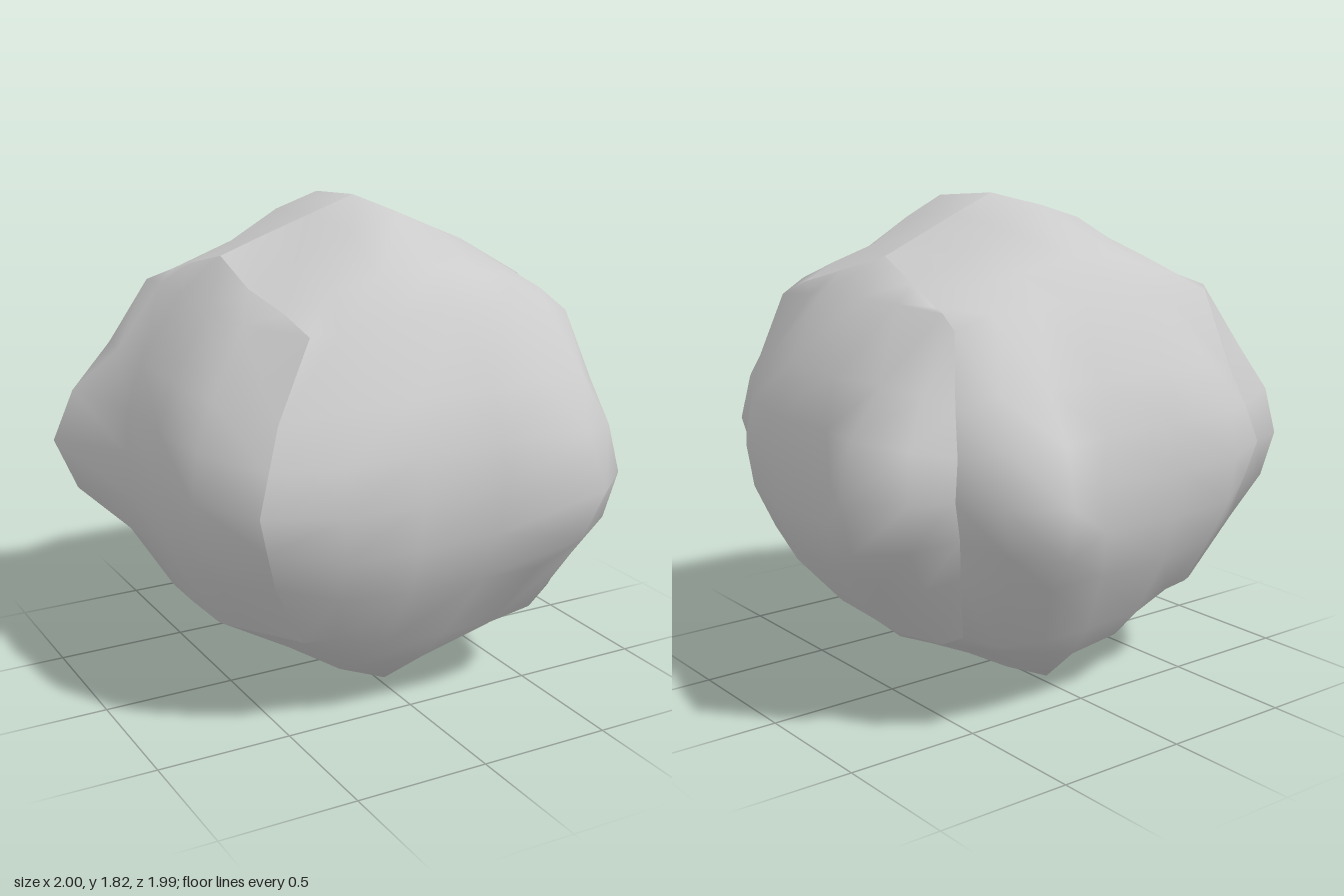
import * as THREE from 'three';

const MID = 0.91; // height of the widest level

// Half a lobe, from its waist up to its ridge: tilt in degrees,
// sideways positions, and distances from the sideways axis.
const SECTIONS = [
  { tilt: 0, x: [-0.69, -0.44, -0.16, 0.19, 0.465, 0.63, 0.7], r: [0.69, 0.82, 0.83, 0.81, 0.995, 0.85, 0.68] },
  { tilt: 11.7, x: [-0.645, -0.43, -0.15, 0.17, 0.44, 0.6, 0.68], r: [0.68, 0.81, 0.83, 0.82, 0.94, 0.84, 0.68] },
  { tilt: 24.4, x: [-0.59, -0.4, -0.14, 0.15, 0.38, 0.55, 0.66], r: [0.69, 0.79, 0.83, 0.83, 0.83, 0.8, 0.69] },
  { tilt: 44, x: [-0.44, -0.33, -0.14, 0.1, 0.3, 0.48, 0.6], r: [0.785, 0.795, 0.845, 0.85, 0.85, 0.825, 0.757] },
  { tilt: 55, x: [-0.46, -0.32, -0.14, 0.08, 0.27, 0.43, 0.58], r: [0.73, 0.8, 0.865, 0.88, 0.83, 0.785, 0.715] },
  { tilt: 71, x: [-0.5, -0.33, -0.14, 0.04, 0.21, 0.37, 0.54], r: [0.69, 0.78, 0.88, 0.935, 0.86, 0.77, 0.68] },
  { tilt: 90, x: [-0.5, -0.33, -0.15, 0.03, 0.2, 0.36, 0.5], r: [0.73, 0.79, 0.85, 0.91, 0.84, 0.77, 0.71] },
];

// One row of lobe points; sign -1 gives the row below the waist, slightly skewed
function sectionRow({ tilt, x, r }, sign) {
  const a = THREE.MathUtils.degToRad(tilt);
  const skew = sign < 0 ? Math.sin(a) : 0;
  return x.map((v, i) => {
    const radius = r[i] - 0.14 * Math.max(0, -v) * skew ** 4;
    return new THREE.Vector3(v - 0.04 * skew, MID + sign * radius * Math.sin(a), radius * Math.cos(a));
  });
}

// Rows from the lower ridge to the upper ridge
function lobeRows(sections) {
  const below = sections.slice(1).reverse().map((s) => sectionRow(s, -1));
  return [...below, ...sections.map((s) => sectionRow(s, 1))];
}

// Smooth skin over a grid of points
function skin(name, rows, flip) {
  const n = rows[0].length;
  const index = [];
  for (let i = 0; i < rows.length - 1; i++) {
    for (let j = 0; j < n - 1; j++) {
      const a = i * n + j, b = a + 1, c = a + n, d = c + 1;
      index.push(...(flip ? [a, d, b, a, c, d] : [a, b, d, a, d, c]));
    }
  }
  const geometry = new THREE.BufferGeometry().setFromPoints(rows.flat());
  geometry.setIndex(index);
  geometry.computeVertexNormals();
  const mesh = new THREE.Mesh(geometry, new THREE.MeshStandardMaterial({ color: 0xcccccc, side: THREE.DoubleSide }));
  mesh.name = name;
  return mesh;
}

// Back lobe: the front one mirrored, with its upper right corner pushed outwards
function backRows(front) {
  const rows = front.map((row) => row.map((p) => new THREE.Vector3(p.x, p.y, -p.z)));
  for (const i of [9, 10, 11]) {
    rows[i][0].x = -0.5;
    rows[i][0].y += 0.015;
    rows[i][0].z -= 0.02;
  }
  return rows;
}

// The left side swells a little in its middle, fading out towards the bottom
function swell(p) {
  const fade = THREE.MathUtils.clamp((p.y - 0.33) / 0.2, 0, 1);
  return 0.065 * fade * Math.max(0, 1 - (p.x / 0.5) ** 2);
}

// Side lobe: the same lobe turned a quarter, sewn to the ends of the front and back lobes
function sideRows(front, back, side) {
  const end = side > 0 ? 6 : 0;
  const rows = lobeRows(SECTIONS.slice(0, 4)).map((row, i) => {
    const turned = row.map((p) => new THREE.Vector3(side > 0 ? p.z + swell(p) : -p.z, p.y, -p.x));
    turned[0] = front[i + 3][end];
    turned[6] = back[i + 3][end];
    return turned;
  });
  // Closing rows follow the slanted upper and lower edges
  const edge = (ids) => [
    ...ids.map((i) => front[i][end]),
    ...ids.slice(0, 3).reverse().map((i) => back[i][end]),
  ];
  return [edge([3, 2, 1, 0]), ...rows, edge([9, 10, 11, 12])];
}

export function createModel() {
  const group = new THREE.Group();
  group.name = 'boulder';
  const front = lobeRows(SECTIONS);
  const back = backRows(front);
  group.add(
    skin('frontLobe', front, false),
    skin('backLobe', back, true),
    skin('leftLobe', sideRows(front, back, 1), false),
    skin('rightLobe', sideRows(front, back, -1), true),
  );
  return group;
}
